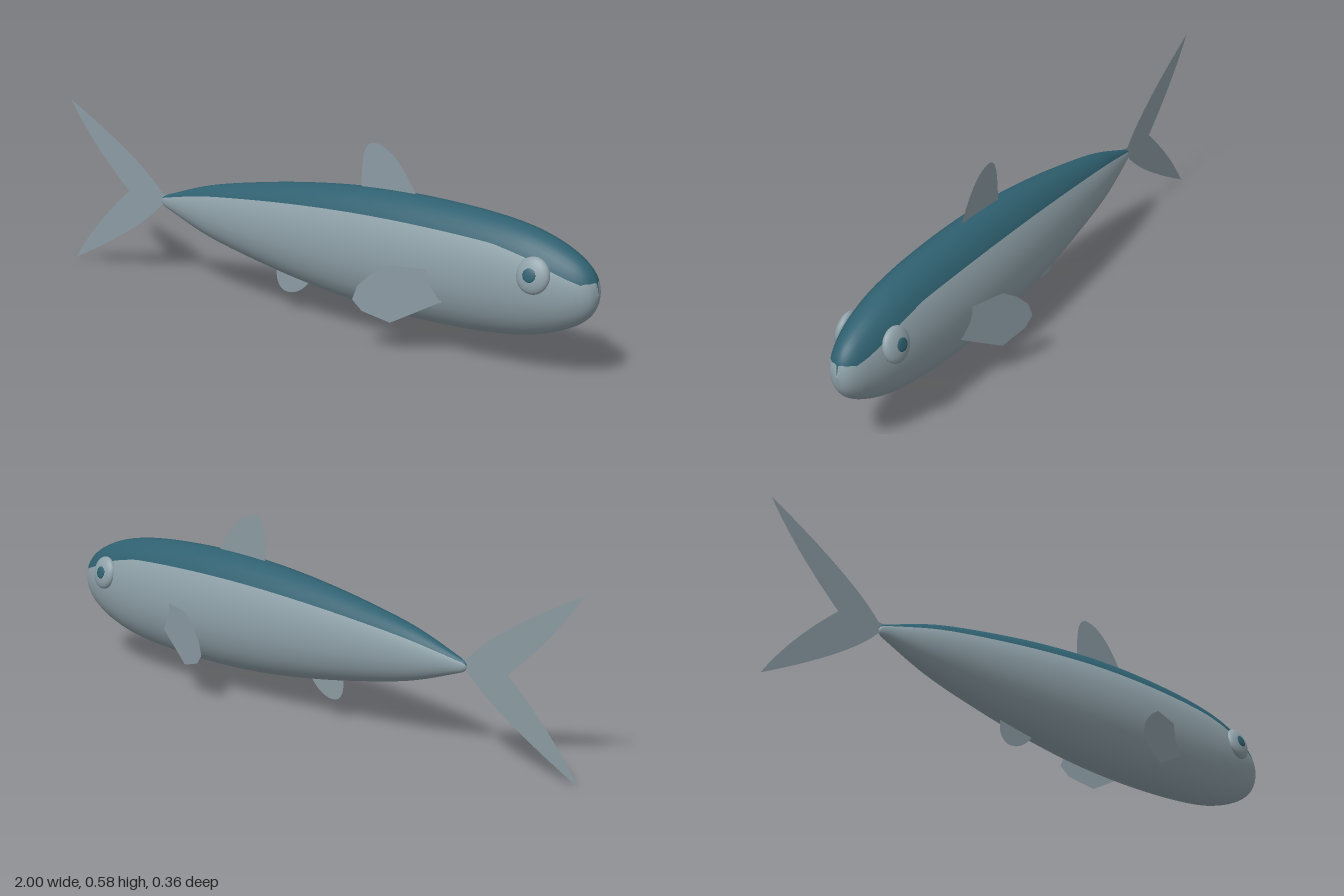
import * as THREE from 'three';

const V2 = (p) => new THREE.Vector2(p[0], p[1]);
const CY = 0.267;      // height of the body axis
const WIDTH = 0.61;    // body width relative to its height

// linear lookup in a short list of [x, value]
function lookup(table, x) {
  for (let i = 1; i < table.length; i++) {
    const [x0, v0] = table[i - 1], [x1, v1] = table[i];
    if (x <= x1) return v0 + (v1 - v0) * Math.max(0, (x - x0) / (x1 - x0));
  }
  return table[table.length - 1][1];
}

// Body: elliptical rings along x, split at the edge of the dark back
function bodyGeometry() {
  const profile = new THREE.SplineCurve([
    [-0.605, 0], [-0.598, 0.014], [-0.56, 0.03], [-0.4, 0.083], [-0.2, 0.125], [0, 0.157],
    [0.2, 0.178], [0.4, 0.185], [0.6, 0.179], [0.75, 0.163], [0.85, 0.138],
    [0.92, 0.108], [0.965, 0.077], [0.99, 0.042], [1, 0],
  ].map(V2)).getPoints(84);
  // height of the colour edge as a share of the ring's half height
  const edge = [[-0.6, 0.66], [0.7, 0.66], [0.8, 0.6], [0.88, 0.5], [0.93, 0.44],
    [0.965, 0.42], [0.985, 0.66], [0.992, 0.99]];
  const nBack = 12, nSide = 24, n = nBack + nSide;
  const pos = [], back = [], side = [];
  profile.forEach((p) => {
    const r = Math.max(p.y, 0.0004), a = Math.asin(lookup(edge, p.x));
    for (let j = 0; j < n; j++) {
      const t = j < nBack
        ? a + (Math.PI - 2 * a) * j / nBack
        : Math.PI - a + (Math.PI + 2 * a) * (j - nBack) / nSide;
      pos.push(p.x, CY + r * Math.sin(t), r * WIDTH * Math.cos(t));
    }
  });
  for (let i = 0; i < profile.length - 1; i++) {
    for (let j = 0; j < n; j++) {
      const a = i * n + j, b = i * n + (j + 1) % n;
      (j < nBack ? back : side).push(a, a + n, b, b, a + n, b + n);
    }
  }
  const g = new THREE.BufferGeometry();
  g.setAttribute('position', new THREE.Float32BufferAttribute(pos, 3));
  g.setIndex([...back, ...side]);
  g.addGroup(0, back.length, 0);
  g.addGroup(back.length, side.length, 1);
  g.computeVertexNormals();
  return g;
}

export function createModel() {
  const model = new THREE.Group();
  const mat = (name, color) => Object.assign(new THREE.MeshStandardMaterial({ color }), { name });
  const teal = mat('darkTeal', 0x2f6070);
  const silver = mat('silver', 0x8fa1a9);
  const finMat = mat('finGrey', 0x8c9ca4);
  finMat.side = THREE.DoubleSide;

  const add = (name, geometry, material, parent = model) => {
    const mesh = new THREE.Mesh(geometry, material);
    mesh.name = name;
    parent.add(mesh);
    return mesh;
  };
  const fin = (name, shape) => add(name, new THREE.ShapeGeometry(shape, 10), finMat);

  add('body', bodyGeometry(), [teal, silver]);

  // Forked tail
  const tail = new THREE.Shape();
  tail.moveTo(-0.57, 0.287);
  tail.lineTo(-0.605, 0.29);
  tail.quadraticCurveTo(-0.7, 0.395, -1, 0.543);
  tail.quadraticCurveTo(-0.91, 0.41, -0.75, 0.273);
  tail.quadraticCurveTo(-0.91, 0.137, -1, 0.003);
  tail.quadraticCurveTo(-0.7, 0.155, -0.605, 0.254);
  tail.lineTo(-0.57, 0.25);
  fin('tailFin', tail);

  // Dorsal fin
  const dorsal = new THREE.Shape();
  dorsal.moveTo(0.19, 0.41);
  dorsal.lineTo(0.188, 0.46);
  dorsal.bezierCurveTo(0.19, 0.55, 0.2, 0.585, 0.24, 0.582);
  dorsal.bezierCurveTo(0.3, 0.575, 0.34, 0.52, 0.385, 0.45);
  dorsal.lineTo(0.385, 0.41);
  fin('dorsalFin', dorsal);

  // Anal fin
  const anal = new THREE.Shape();
  anal.moveTo(-0.13, 0.16);
  anal.lineTo(-0.135, 0.13);
  anal.bezierCurveTo(-0.14, 0.09, -0.125, 0.06, -0.09, 0.061);
  anal.bezierCurveTo(-0.05, 0.063, -0.02, 0.09, 0, 0.12);
  anal.lineTo(0, 0.16);
  fin('analFin', anal);

  for (const s of [1, -1]) {
    const sideName = s > 0 ? 'Front' : 'Rear';

    // Pectoral fin, swept outwards towards the tail
    const pectoral = fin('pectoralFin' + sideName, new THREE.Shape([
      [0.56, 0.19], [0.52, 0.275], [0.395, 0.275], [0.345, 0.243], [0.305, 0.203],
      [0.29, 0.16], [0.318, 0.128], [0.4, 0.102],
    ].map(V2)));
    const p = pectoral.geometry.attributes.position;
    for (let i = 0; i < p.count; i++) p.setZ(i, s * (0.1 + 0.32 * (0.54 - p.getX(i))));
    pectoral.geometry.computeVertexNormals();

    // Bulging eye with a small pupil
    const eye = new THREE.Group();
    eye.name = 'eye' + sideName;
    eye.position.set(0.838, 0.314, s * 0.083);
    eye.rotation.set(-s * 0.22, s * 0.12, 0);
    add('eyeball', new THREE.SphereGeometry(1, 24, 16), silver, eye).scale.set(0.05, 0.053, 0.021);
    const pupil = add('pupil', new THREE.SphereGeometry(1, 14, 8), teal, eye);
    pupil.scale.set(0.02, 0.02, 0.004);
    pupil.position.set(-0.004, 0, s * 0.0195);
    model.add(eye);
  }
  return model;
}
